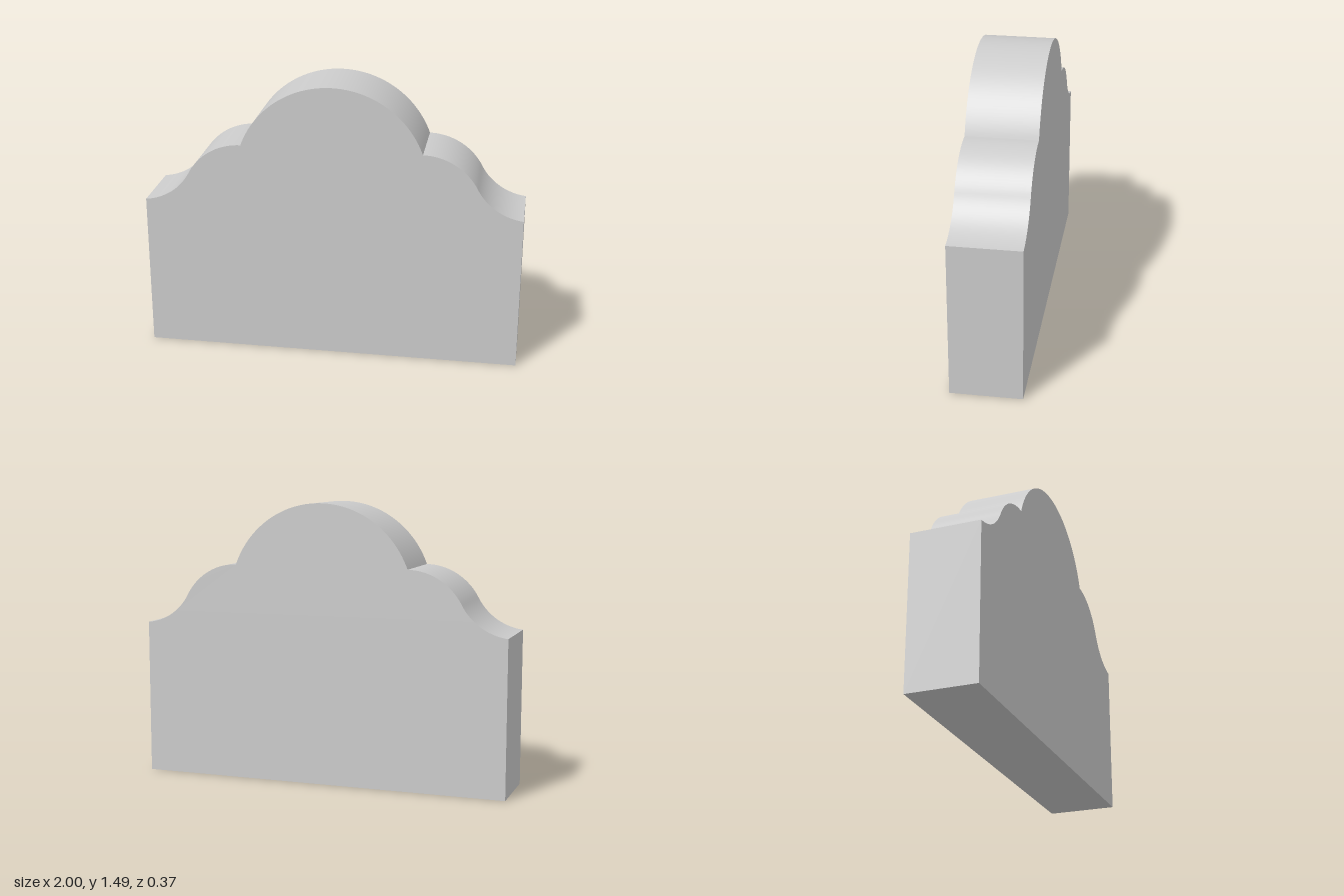
import * as THREE from 'three';
import { toCreasedNormals } from 'three/addons/utils/BufferGeometryUtils.js';

// Points along a circular arc, from angle a0 to a1 in degrees
function arc(cx, cy, r, a0, a1, steps) {
  const points = [];
  for (let i = 0; i <= steps; i++) {
    const a = THREE.MathUtils.degToRad(a0 + (a1 - a0) * i / steps);
    points.push(new THREE.Vector2(cx + r * Math.cos(a), cy + r * Math.sin(a)));
  }
  return points;
}

export function createModel() {
  const group = new THREE.Group();
  group.name = 'scallopedBlock';

  // Half outline: base corner, concave cove, convex shoulder, central dome
  const half = [
    new THREE.Vector2(1, 0),
    ...arc(1.031, 1.136, 0.308, -95.8, -151.6, 20),
    ...arc(0.475, 0.836, 0.324, 28.4, 90, 20).slice(1),
    ...arc(0, 0.983, 0.507, 20.4, 90, 32).slice(1),
  ];
  half[1].x = 1;

  // Mirror about x = 0, sharing the apex
  const mirrored = half.slice(0, -1).reverse().map((p) => new THREE.Vector2(-p.x, p.y));
  const shape = new THREE.Shape([...half, ...mirrored]);

  // Solid slab, smooth along the curved top and sharp at the corners
  const depth = 0.37;
  const slab = new THREE.ExtrudeGeometry(shape, { depth, bevelEnabled: false });
  slab.translate(0, 0, -depth / 2);

  const mesh = new THREE.Mesh(
    toCreasedNormals(slab, 0.6),
    new THREE.MeshStandardMaterial({ color: 0xcccccc })
  );
  mesh.name = 'archedSlab';
  group.add(mesh);
  return group;
}
